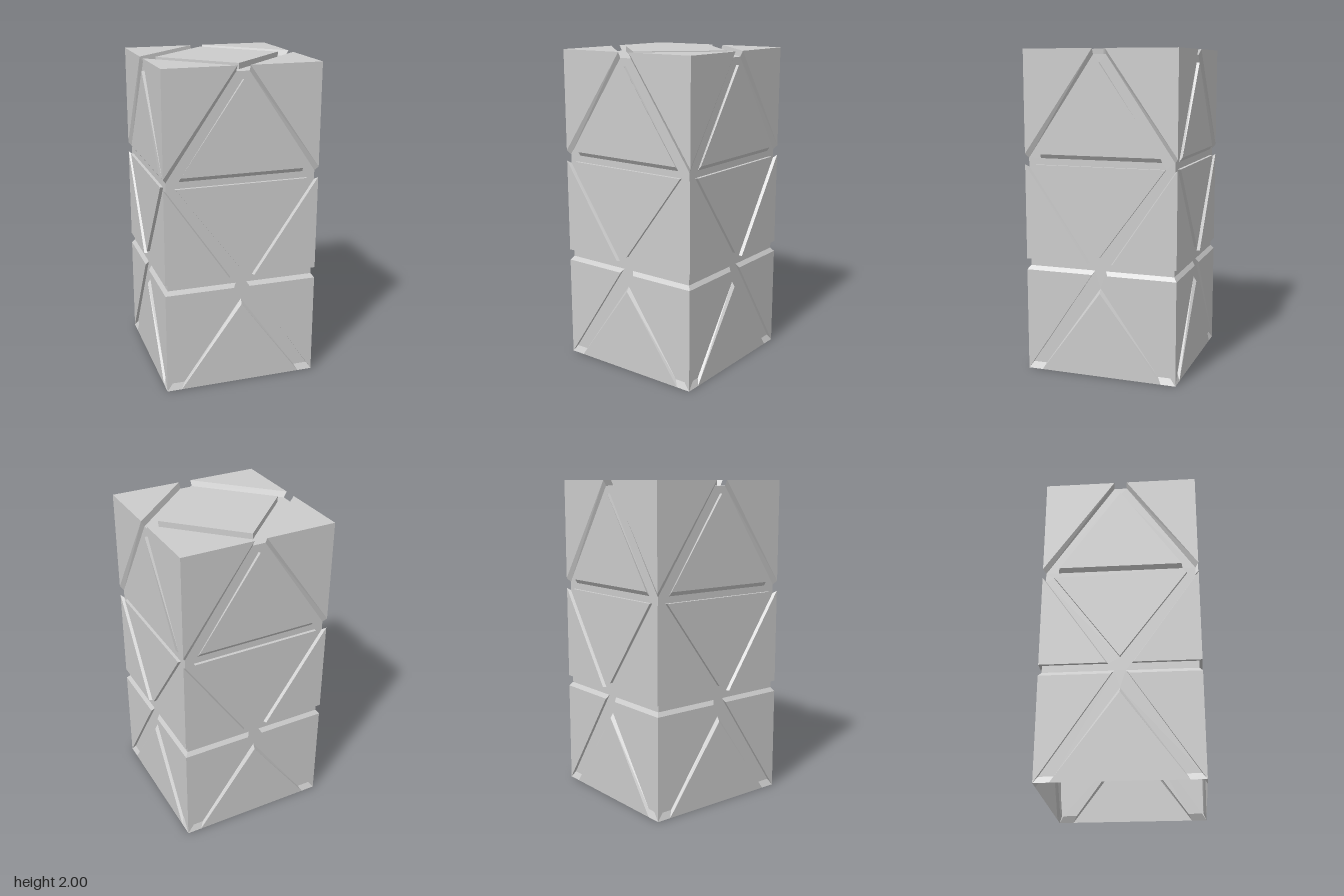
import * as THREE from 'three';

const H = 0.483;   // outer half width
const F = 0.464;   // half width at the groove floor
const TOP = 2, TOP_FLOOR = 1.965;

const material = new THREE.MeshStandardMaterial({ color: 0xcccccc, flatShading: true, side: THREE.DoubleSide });

function addMesh(group, name, geometry) {
  const mesh = new THREE.Mesh(geometry, material);
  mesh.name = name;
  group.add(mesh);
  return mesh;
}

// Flat-shaded geometry from convex polygons
function polygons(list) {
  const pos = [];
  for (const p of list)
    for (let i = 1; i < p.length - 1; i++) pos.push(...p[0], ...p[i], ...p[i + 1]);
  const g = new THREE.BufferGeometry();
  g.setAttribute('position', new THREE.Float32BufferAttribute(pos, 3));
  g.computeVertexNormals();
  return g;
}

// Raised panel: outer polygon plus walls down to the groove floor.
// A null base point, or closed = false for the last edge, leaves out a wall.
function panel(top, base, closed, zOut = H, zIn = F) {
  const up = top.map(([x, y]) => [x, y, zOut]);
  const low = base.map(p => p && [p[0], p[1], zIn]);
  const faces = [up];
  const n = closed ? up.length : up.length - 1;
  for (let i = 0; i < n; i++) {
    const j = (i + 1) % up.length;
    if (low[i] && low[j]) faces.push([low[i], low[j], up[j], up[i]]);
  }
  return polygons(faces);
}

const mirror = pts => pts.map(p => p && [-p[0], ...p.slice(1)]).reverse();

function floor(outline, holes, z) {
  const vec = pts => pts.map(([x, y]) => new THREE.Vector2(x, y));
  const shape = new THREE.Shape(vec(outline));
  holes.forEach(h => shape.holes.push(new THREE.Path(vec(h))));
  return new THREE.ShapeGeometry(shape).translate(0, 0, z);
}

function createSide() {
  const side = new THREE.Group();

  // Panels that wrap round the vertical corners, mirrored left and right
  const edgePanels = [
    ['upperCornerPanel', [[0.04, TOP], [H, 1.37], [H, TOP]], [[0.04, TOP_FLOOR], [F, 1.345], null]],
    ['middleCornerPanel', [[H, 1.305], [0.08, 0.715], [H, 0.715]], [[F, 1.29], [0.07, 0.715], [F, 0.715]]],
    ['lowerCornerPanel', [[H, 0.645], [0.05, 0.645], [H, 0]], [[F, 0.67], [0.035, 0.67], [0.456, 0.04]]],
  ];
  for (const [name, top, base] of edgePanels) {
    addMesh(side, name, panel(top, base, false));
    addMesh(side, name, panel(mirror(top), mirror(base), false));
  }

  // Central triangles
  const upperBase = [[0, 1.92], [-0.385, 1.345], [0.385, 1.345]];
  const middle = [[0.41, 1.305], [-0.41, 1.305], [0, 0.755]];
  addMesh(side, 'upperTriangle', panel([[0, 1.92], [-0.38, 1.37], [0.38, 1.37]], upperBase, true));
  addMesh(side, 'middleTriangle', panel(middle, middle, true));
  addMesh(side, 'lowerTriangle', panel(
    [[0.39, 0], [0, 0.53], [-0.39, 0]],
    [[0.368, 0.04], [0, 0.56], [-0.368, 0.04]], false));

  // Groove floor between the panels
  const right = [[0.368, 0.04], [0.456, 0.04], [0.035, 0.67], [F, 0.67], [F, 0.715],
    [0.07, 0.715], [F, 1.29], [F, 1.345], [0.04, TOP_FLOOR]];
  addMesh(side, 'grooveFloor', floor([[0, 0.56], ...right, ...mirror(right)], [upperBase, middle], F));

  // Sloped ends of the grooves at the bottom rim
  const end = [[0.39, 0, H], [H, 0, H], [0.456, 0.04, F], [0.368, 0.04, F]];
  addMesh(side, 'grooveEnds', polygons([end, mirror(end)]));
  return side;
}

function createTop() {
  const top = new THREE.Group();
  top.name = 'top';
  const diamond = [[0.395, 0], [0, 0.395], [-0.395, 0], [0, -0.395]];
  addMesh(top, 'topDiamond', panel(diamond, diamond, true, TOP, TOP_FLOOR));
  for (let i = 0; i < 4; i++) {
    addMesh(top, 'topCornerPanel', panel(
      [[H, 0.04], [H, H], [0.04, H]],
      [[F, 0.04], null, [0.04, F]], true, TOP, TOP_FLOOR)).rotation.z = i * Math.PI / 2;
  }
  const outline = [[F, -0.04], [F, 0.04], [0.04, F], [-0.04, F],
    [-F, 0.04], [-F, -0.04], [-0.04, -F], [0.04, -F]];
  addMesh(top, 'topGrooveFloor', floor(outline, [diamond], TOP_FLOOR));
  top.rotation.x = -Math.PI / 2;
  return top;
}

export function createModel() {
  const model = new THREE.Group();
  model.name = 'groovedColumn';
  // Four identical sides around an open-bottomed shell
  ['frontSide', 'leftSide', 'backSide', 'rightSide'].forEach((name, i) => {
    const side = createSide();
    side.name = name;
    side.rotation.y = i * Math.PI / 2;
    model.add(side);
  });
  model.add(createTop());
  return model;
}
